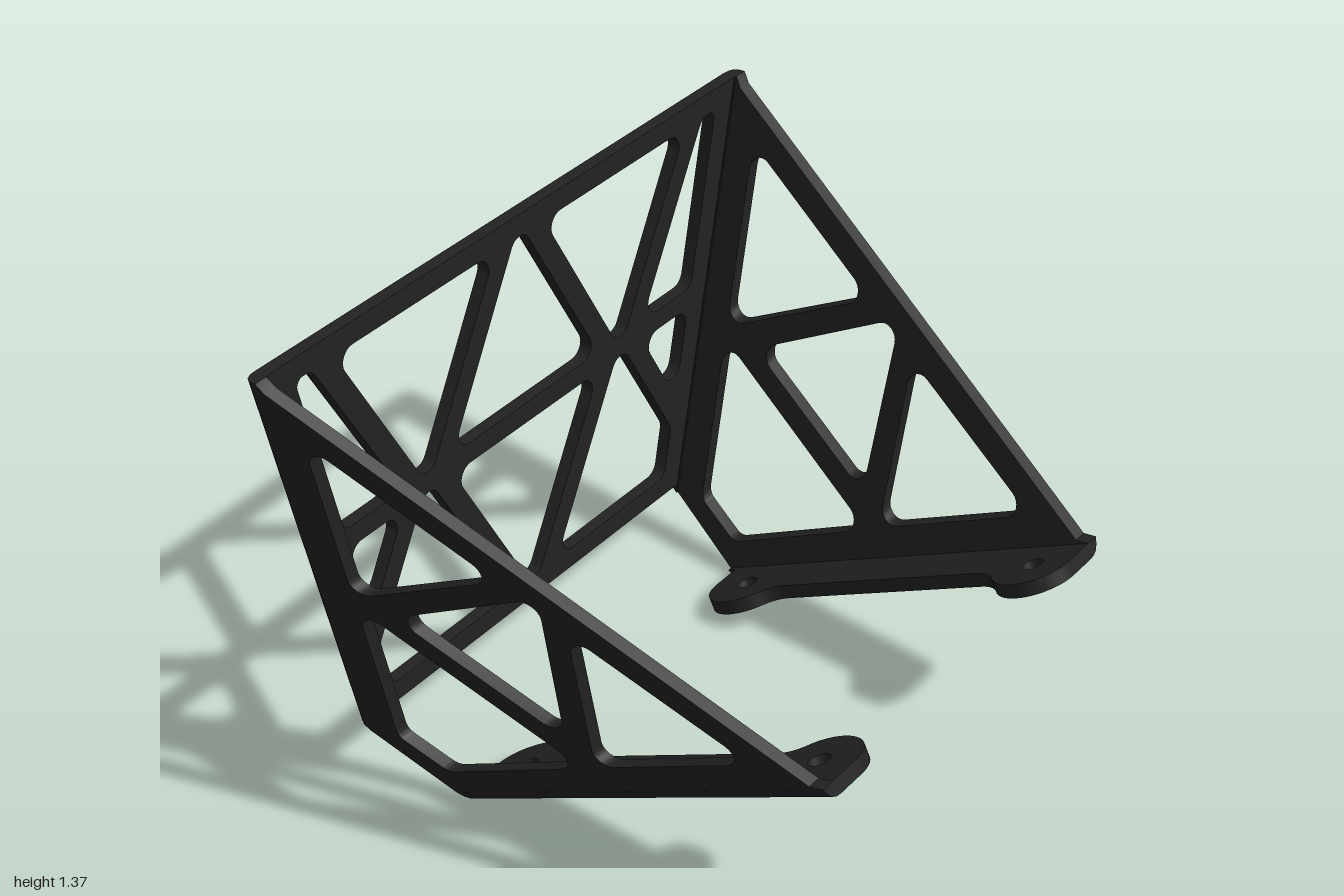
import * as THREE from 'three';
import { mergeGeometries, toCreasedNormals } from 'three/addons/utils/BufferGeometryUtils.js';

const material = new THREE.MeshStandardMaterial({ color: 0x222222 });
const THICK = 0.04;
const BACK = -0.71;               // rear face of the back panel
const TILT = Math.asin(0.426);    // slope of the mounting flanges
const LENGTH = 1.232;             // flange length along the slope

// Height above the flange plane, and the splayed outer face of the side panel
const rise = (y, z) => y * Math.cos(TILT) - (z + 0.4) * Math.sin(TILT);
const outerX = (y, z) => 0.63 + 0.27 * rise(y, z);

const vectors = (points) => points.map(([x, y]) => new THREE.Vector2(x, y));

// Window path: a polygon with every corner rounded
function rounded(points, r = 0.04) {
  const path = new THREE.Path();
  const P = vectors(points);
  P.forEach((p, i) => {
    const toPrev = P[(i + P.length - 1) % P.length].clone().sub(p);
    const toNext = P[(i + 1) % P.length].clone().sub(p);
    const limit = 0.48 * Math.min(toPrev.length(), toNext.length());
    toPrev.normalize();
    toNext.normalize();
    const sweep = Math.PI - Math.acos(toPrev.dot(toNext));
    const T = Math.min(r * Math.tan(sweep / 2), limit);
    const k = T - (4 / 3) * Math.tan(sweep / 4) * (T / Math.tan(sweep / 2));
    const at = (dir, d) => p.clone().addScaledVector(dir, d);
    const a = at(toPrev, T), b = at(toPrev, k), c = at(toNext, k), d = at(toNext, T);
    if (i === 0) path.moveTo(a.x, a.y); else path.lineTo(a.x, a.y);
    path.bezierCurveTo(b.x, b.y, c.x, c.y, d.x, d.y);
  });
  path.closePath();
  return path;
}

// Solid (or open tube) between two matching cross-sections
function prism(A, B, caps = true) {
  const tris = [], n = A.length;
  for (let i = 0; i < n; i++) {
    const j = (i + 1) % n;
    tris.push(A[i], A[j], B[j], A[i], B[j], B[i]);
    if (caps && i > 0 && i < n - 1) tris.push(B[0], B[i], B[j], A[0], A[j], A[i]);
  }
  const g = new THREE.BufferGeometry();
  g.setAttribute('position', new THREE.Float32BufferAttribute(tris.flat(), 3));
  return g;
}

function part(name, geometry, crease = 0.6) {
  const mesh = new THREE.Mesh(toCreasedNormals(geometry, crease), material);
  mesh.name = name;
  return mesh;
}

// Rear truss: a mosaic of cells, each a strut-bordered area with one window
function backPanel() {
  const half = 0.0185, bottom = 0.19, mid = 0.78, top = 1.372;
  const edge = (y) => outerX(y, BACK) - 0.045;
  const inner = (y) => outerX(y, BACK) - 0.125;
  const mirror = (pts) => pts.map(([x, y]) => [-x, y]).reverse();
  const cells = [
    [[[-0.366, mid], [0.366, mid], [0.024, top], [-0.024, top]],
      [[-0.31, 0.81], [0.31, 0.81], [0, 1.35]]],
    [[[-0.025, bottom], [0.025, bottom], [0.366, mid], [-0.366, mid]],
      [[0, 0.21], [0.31, 0.75], [-0.31, 0.75]]],
  ];
  const sideCells = [
    [[[0.366, mid], [0.454, mid], [0.796, top], [0.024, top]],
      [[0.41, 0.77], [0.72, 1.31], [0.10, 1.31]]],
    [[[0.454, mid], [edge(mid), mid], [edge(top), top], [0.796, top]],
      [[0.51, 0.81], [inner(0.81), 0.81], [inner(1.31), 1.31], [0.80, 1.31]]],
    [[[0.454, mid], [0.705, 0.346], [edge(mid), mid]],
      [[0.51, 0.75], [0.66, 0.49], [inner(0.75), 0.75]]],
    [[[0.025, bottom], [edge(bottom), bottom], [0.705, 0.346], [0.454, mid], [0.366, mid]],
      [[0.10, 0.25], [inner(0.25), 0.25], [0.637, 0.40], [0.41, 0.79]]],
  ];
  for (const [cell, hole] of sideCells) cells.push([cell, hole], [mirror(cell), mirror(hole)]);

  const wall = (pts) => prism(pts.map(([x, y]) => [x, y, -half]), pts.map(([x, y]) => [x, y, half]), false);
  const walls = [wall([[-edge(bottom), bottom], [edge(bottom), bottom], [edge(top), top], [-edge(top), top]])];
  const faces = cells.map(([cell, hole]) => {
    const shape = new THREE.Shape(vectors(cell));
    const path = rounded(hole);
    shape.holes.push(path);
    walls.push(wall(path.getPoints(8).map((p) => [p.x, p.y]).reverse()));
    const face = new THREE.ShapeGeometry(shape, 8).toNonIndexed();
    face.deleteAttribute('uv');
    face.deleteAttribute('normal');
    return face.translate(0, 0, half);
  });
  const rear = faces.map((f) => f.clone().rotateY(Math.PI));
  const g = mergeGeometries([...faces, ...rear, ...walls]);
  g.translate(0, 0, BACK + half);
  return part('backPanel', g);
}

// Splayed side truss, outlined in (z, y) and sheared outward
function sidePanel() {
  const flip = (pts) => pts.map(([z, y]) => [-z, y]);
  const outline = [[-0.67, 0.166], [-0.67, 1.372], [-0.65, 1.345], [0.66, 0.555], [0.698, 0.561], [-0.44, 0.025]];
  const holes = [
    [[-0.111, 0.935], [-0.58, 1.216], [-0.58, 0.694]],
    [[0.507, 0.562], [0.057, 0.827], [0.039, 0.34]],
    [[-0.004, 0.92], [-0.468, 0.669], [-0.033, 0.416]],
    [[0, 0.318], [-0.58, 0.66], [-0.58, 0.183], [-0.443, 0.104]],
  ];
  const shape = new THREE.Shape(vectors(flip(outline)));
  shape.holes = holes.map((h) => rounded(flip(h)));
  const g = new THREE.ExtrudeGeometry(shape, { depth: THICK, bevelEnabled: false, curveSegments: 8 });
  g.rotateY(Math.PI / 2);
  const p = g.attributes.position;
  for (let i = 0; i < p.count; i++) {
    p.setX(i, p.getX(i) - THICK + outerX(p.getY(i), p.getZ(i)));
  }
  return part('sidePanel', g);
}

// Mounting strip with a round drilled tab at each end
function mountingFlange() {
  const L = LENGTH, r = 0.115, cx = 0.5;
  const s = new THREE.Shape();
  s.moveTo(0.59, 0);
  s.lineTo(cx, 0);
  s.absarc(cx, -r, r, Math.PI / 2, Math.PI + 0.9, false);
  s.quadraticCurveTo(0.465, -0.235, 0.465, -0.28);
  s.lineTo(0.465, -L + 0.28);
  s.quadraticCurveTo(0.465, -L + 0.235, 0.4285, -L + 0.205);
  s.absarc(cx, -L + r, r, Math.PI - 0.9, Math.PI * 1.5, false);
  s.lineTo(0.59, -L);
  s.closePath();
  for (const y of [-r, -L + r]) {
    s.holes.push(new THREE.Path().absarc(cx, y, 0.03, 0, Math.PI * 2, true));
  }
  const g = new THREE.ExtrudeGeometry(s, { depth: THICK, bevelEnabled: false, curveSegments: 16 });
  g.rotateX(-(Math.PI / 2 + TILT));
  g.translate(0, 0, -0.4);
  return part('mountingFlange', g);
}

// Rounded bend joining flange and side panel
function flangeBend() {
  const profile = [[0.588, 0], [0.606, 0.002], [0.621, 0.009], [0.632, 0.022], [0.641, 0.04], [0.588, 0.04]];
  const section = (uAt) => profile.map(([x, h]) => {
    const u = uAt(h);
    return [x, u * Math.sin(TILT) + h * Math.cos(TILT), u * Math.cos(TILT) - h * Math.sin(TILT) - 0.4];
  });
  return part('flangeBend', prism(section((h) => -0.64 * h), section(() => LENGTH)), 0.7);
}

// Rounded bend joining back and side panels
function backBend() {
  const profile = [[-0.046, 0], [-0.028, 0.002], [-0.014, 0.009], [-0.006, 0.021], [-0.0046, 0.04], [-0.05, 0.04]];
  const section = (yAt) => profile.map(([dx, dz]) => {
    const y = yAt(dz);
    return [outerX(y, BACK) + dx, y, BACK + dz];
  });
  return part('backBend', prism(section(() => 1.372), section((dz) => 0.19 - 0.6 * dz)), 0.7);
}

export function createModel() {
  const model = new THREE.Group();
  model.name = 'trussBracket';
  model.add(backPanel());
  for (const side of [1, -1]) {
    const arm = new THREE.Group();
    arm.name = side > 0 ? 'leftSide' : 'rightSide';
    arm.add(sidePanel(), mountingFlange(), flangeBend(), backBend());
    arm.scale.x = side;
    model.add(arm);
  }
  return model;
}
